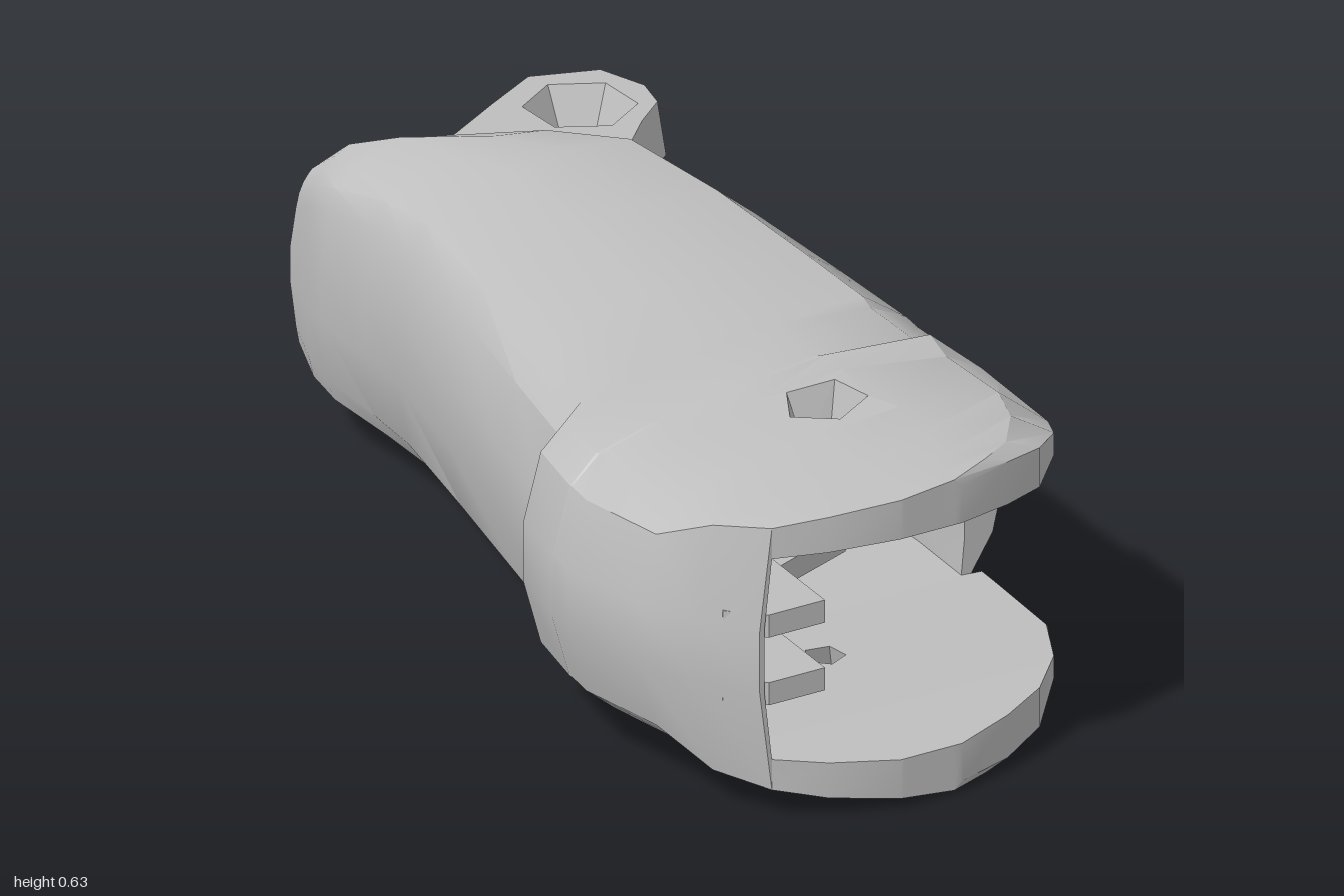
import * as THREE from 'three';
import { toCreasedNormals } from 'three/addons/utils/BufferGeometryUtils.js';

const MID = 0.318;
const { clamp } = THREE.MathUtils;
// Half of the outer cross-section: [fraction across the width, height above the middle]
const PROFILE = [[0, 0.06], [0.04, 0.19], [0.1, 0.24], [0.235, 0.275], [0.4, 0.297],
  [0.58, 0.316], [0.8, 0.3], [0.91, 0.235], [0.98, 0.13], [1, 0.05]];
// z, left x, right x, left wall, right wall, height scale, inner half height
const ROWS = [
  [0.99, -0.12, 0.03, 0, 0, 1, 0.22],
  [0.95, -0.26, 0.18, 0, 0, 1, 0.21],
  [0.9, -0.36, 0.3, 0.01, 0.02, 1, 0.2],
  [0.8, -0.43, 0.41, 0.07, 0.05, 1, 0.2],
  [0.68, -0.48, 0.485, 0.12, 0.09, 1, 0.2],
  [0.49, -0.51, 0.505, 0.16, 0.09, 1, 0.2],
  [0.425, -0.5, 0.51, 0.15, 0.09, 1, 0.2],
  [0.42, -0.5, 0.465, 0.15, 0.08, 1, 0.2],
  [0.27, -0.465, 0.465, 0.14, 0.085, 1, 0.19],
  [0.22, -0.395, 0.465, 0.1, 0.085, 1, 0.19],
  [0, -0.34, 0.465, 0.11, 0.085, 1, 0.18],
  [-0.3, -0.265, 0.46, 0.12, 0.085, 1, 0.165],
  [-0.57, -0.2, 0.425, 0.13, 0.06, 1, 0.155],
  [-0.7, -0.187, 0.3, 0.14, 0.05, 0.97, 0.155],
  [-0.84, -0.19, 0.1, 0.16, 0.02, 0.88, 0.155],
  [-0.91, -0.178, -0.02, 0.1, 0, 0.8, 0.155],
  [-1, -0.16, -0.115, 0.025, 0, 0.62, 0.155],
];
const HOLE_ROW = 4;

// Height of the domed plate at a given x near the front
function domeAt(x) {
  const u = clamp((x + 0.51) / 0.98, 0, 1);
  const k = Math.max(1, PROFILE.findIndex((p) => u <= p[0]));
  const [u0, h0] = PROFILE[k - 1], [u1, h1] = PROFILE[k];
  return h0 + (h1 - h0) * (u - u0) / (u1 - u0);
}

// Outer height of one profile point; the open right rim is sharp and thickens to the front
function heightAt(z, x, k, scale) {
  if (z > 0.421 && k === 7) return 0.205 + 0.09 * clamp((z - 0.68) / 0.27, 0, 1);
  if ((z > 0.7 && k > 0 && k < 7) || (z > 0.45 && k > 2 && k < 7)) return domeAt(x);
  return PROFILE[k][1] * scale;
}

// Outer and inner rings of one cross-section, left over the top to right and back underneath
function section([z, xL, xR, wL, wR, scale, inner]) {
  const outer = [], hollow = [];
  for (let j = 0; j < 20; j++) {
    const k = j < 10 ? j : 19 - j, sign = j < 10 ? 1 : -1;
    const x = xL + (xR - xL) * PROFILE[k][0];
    const h = heightAt(z, x, k, scale);
    const zz = z === -1 ? z + 0.2 * h : z; // the rear tip is pointed at mid height
    outer.push(new THREE.Vector3(x, MID + sign * h, zz));
    hollow.push(new THREE.Vector3(clamp(x, xL + wL, xR - wR), MID + sign * Math.min(h, inner), zz));
  }
  return { outer, hollow };
}

// Segment number shared by the upper and lower halves
const half = (j) => (j < 9 ? j : 18 - j);

// Cells left out: open front side, open mouth, gap between the lugs
function solid(i, j) {
  if (i < 0 || i >= ROWS.length - 1) return false;
  const m = half(j), z = ROWS[i][0];
  if ((z > 0.421 || z < -0.56) && m >= 7) return false;
  return !(z > 0.91 && m < 1);
}

function shellGeometry() {
  const rings = ROWS.map(section), pos = [];
  const tri = (a, b, c) => {
    const n = b.clone().sub(a).cross(c.clone().sub(a));
    if (n.length() > 1e-7) for (const p of [a, b, c]) pos.push(p.x, p.y, p.z);
  };
  const quad = (a, b, c, d) => { tri(a, b, c); tri(a, c, d); };
  for (let i = 0; i < ROWS.length - 1; i++) {
    for (let j = 0; j < 20; j++) {
      if (!solid(i, j) || (i === HOLE_ROW && half(j) === 4)) continue;
      const n = (j + 1) % 20, f = rings[i], r = rings[i + 1];
      const a = f.outer[j], b = f.outer[n], c = r.outer[n], d = r.outer[j];
      const A = f.hollow[j], B = f.hollow[n], C = r.hollow[n], D = r.hollow[j];
      quad(a, b, c, d);
      quad(D, C, B, A);
      if (!solid(i - 1, j)) quad(A, B, b, a);
      if (!solid(i + 1, j)) quad(d, c, C, D);
      if (!solid(i, n)) quad(B, C, c, b);
      if (!solid(i, (j + 19) % 20)) quad(a, d, D, A);
    }
  }
  const g = new THREE.BufferGeometry();
  g.setAttribute('position', new THREE.Float32BufferAttribute(pos, 3));
  return toCreasedNormals(g, 0.5);
}

// Ring of points for a hole
const ring = ({ x, z, r, n }) => Array.from({ length: n }, (_, i) => {
  const t = 0.5 + i / n * Math.PI * 2;
  return new THREE.Vector2(x + r * Math.cos(t), z + r * Math.sin(t));
});

// Plate drawn in plan (x, z), standing from height lo to hi(x) off the middle.
// Its hole narrows inward, and its outer face shrinks toward the hole by taper.
function plate(points, side, lo, hi, hole, taper = 1) {
  const shape = new THREE.Shape(points.map(([x, z]) => new THREE.Vector2(x, z)));
  if (hole) shape.holes.push(new THREE.Path(ring(hole)));
  const p = new THREE.ExtrudeGeometry(shape, { depth: 1, bevelEnabled: false }).attributes.position;
  const out = [];
  for (let t = 0; t < p.count; t += 3) {
    for (const v of side > 0 ? [t, t + 2, t + 1] : [t, t + 1, t + 2]) {
      let x = p.getX(v), z = p.getY(v);
      const top = p.getZ(v) > 0.5;
      if (hole) {
        const onHole = Math.hypot(x - hole.x, z - hole.z) < hole.r * 1.05;
        const s = top ? (onHole ? 1 : taper) : (onHole ? 0.5 : 1);
        x = hole.x + (x - hole.x) * s;
        z = hole.z + (z - hole.z) * s;
      }
      out.push(x, MID + side * (top ? hi(x) : lo), z);
    }
  }
  const geo = new THREE.BufferGeometry();
  geo.setAttribute('position', new THREE.Float32BufferAttribute(out, 3));
  geo.computeVertexNormals();
  return geo;
}

export function createModel() {
  const model = new THREE.Group();
  const grey = new THREE.MeshStandardMaterial({ color: 0xbebebe });
  grey.name = 'grey';
  const add = (name, geometry) => {
    const mesh = new THREE.Mesh(geometry, grey);
    mesh.name = name;
    model.add(mesh);
  };

  add('hollowShell', shellGeometry());

  for (const side of [1, -1]) {
    const end = side > 0 ? 'upper' : 'lower';
    // Pin hole patch in the front plate
    add(end + 'PinHole', plate([[-0.104, 0.49], [0.0787, 0.49], [0.0797, 0.68], [-0.094, 0.68]],
      side, 0.2, domeAt, { x: -0.015, z: 0.575, r: 0.08, n: 5 }));
    // Rear hinge lug
    add(end + 'HingeLug', plate([[-0.02, -0.8], [0.06, -0.83], [0.2, -0.91], [0.33, -0.98],
      [0.47, -0.93], [0.505, -0.82], [0.485, -0.74], [0.41, -0.68], [0.31, -0.58], [0.1, -0.54]],
    side, 0.155, () => 0.262, { x: 0.345, z: -0.81, r: 0.105, n: 6 }, 0.9));
    // Fork arm inside the mouth
    add(end + 'ForkArm', plate([[-0.4, 0.84], [-0.34, 0.9], [-0.22, 0.9], [-0.2, 0.62],
      [-0.08, 0.5], [0.13, 0.42], [0.12, 0.34], [-0.36, 0.34]], side, 0.045, () => 0.09));
  }
  // Solid root closing the slot between the fork arms
  add('forkRoot', plate([[-0.4, 0.7], [-0.28, 0.7], [-0.21, 0.56], [-0.06, 0.44],
    [0.05, 0.425], [0.05, 0.45], [0.13, 0.42], [0.12, 0.34], [-0.36, 0.34]], 1, -0.046, () => 0.046));
  return model;
}
